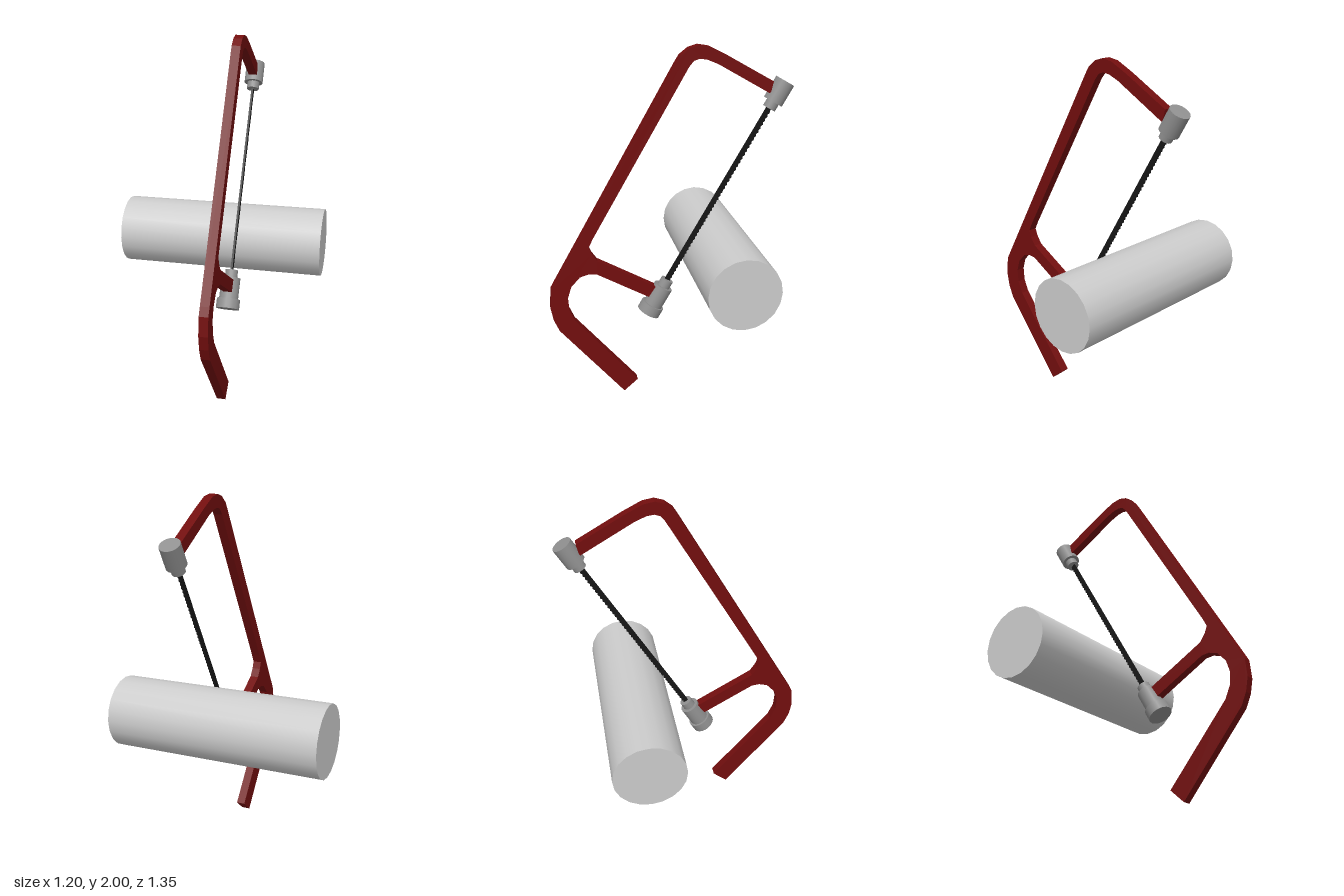
import * as THREE from 'three';

const material = (color) => new THREE.MeshStandardMaterial({ color });

export function createModel() {
  const model = new THREE.Group();
  const red = material(0x720e0e);
  const steel = material(0x909090);
  const black = material(0x161616);

  function add(parent, name, geometry, mat) {
    const mesh = new THREE.Mesh(geometry, mat);
    mesh.name = name;
    parent.add(mesh);
    return mesh;
  }

  // Horizontal pipe being cut
  const pipe = add(model, 'pipe', new THREE.CylinderGeometry(0.199, 0.199, 1.2, 20), material(0xcccccc));
  pipe.rotation.z = Math.PI / 2;
  pipe.position.set(0, 0.79, -0.307);

  // Saw, drawn in its own plane: local x runs to the back, local z across the thickness
  const saw = new THREE.Group();
  saw.name = 'saw';
  saw.rotation.y = Math.PI / 2;
  saw.position.x = 0.114;
  model.add(saw);

  // Bow frame with upper arm, curved handle and lower arm as one outline
  const outline = [
    // outer edge, upper arm to handle tip
    [0.56, 1.80], [0.31, 1.94], [0.21, 1.99], [0.15, 2.0], [0.10, 1.985], [0.055, 1.95], [0.03, 1.91],
    [-0.64, 0.735], [-0.665, 0.69], [-0.675, 0.585], [-0.66, 0.505], [-0.63, 0.435], [-0.27, 0],
    // inner edge of the handle to the lower arm
    [-0.19, 0.07], [-0.54, 0.49], [-0.57, 0.56], [-0.575, 0.635], [-0.555, 0.70], [-0.505, 0.755],
    [-0.455, 0.77], [-0.41, 0.765], [-0.12, 0.60], [-0.08, 0.66],
    // inner edge of the bow
    [-0.405, 0.845], [-0.435, 0.89], [-0.45, 0.93], [-0.425, 0.98],
    [0.10, 1.89], [0.125, 1.92], [0.155, 1.93], [0.195, 1.925], [0.255, 1.90], [0.545, 1.735],
  ].map(([x, y]) => new THREE.Vector2(x, y));
  const frameGeometry = new THREE.ExtrudeGeometry(new THREE.Shape(outline), { depth: 0.05, bevelEnabled: false });
  frameGeometry.translate(0, 0, -0.025);
  add(saw, 'frame', frameGeometry, red);

  // Blade axis, leaning 30 degrees from the lower fitting to the upper one
  const axis = new THREE.Group();
  axis.name = 'bladeAssembly';
  axis.position.set(-0.12, 0.495, 0);
  axis.rotation.z = -Math.PI / 6;
  saw.add(axis);

  // Stepped fittings: name, start, end, radius along the axis
  for (const [name, start, end, radius] of [
    ['lowerFlange', 0, 0.056, 0.067],
    ['lowerFitting', 0.056, 0.179, 0.055],
    ['lowerCollar', 0.179, 0.224, 0.036],
    ['upperCollar', 1.335, 1.376, 0.036],
    ['upperFitting', 1.376, 1.502, 0.055],
  ]) {
    const part = add(axis, name, new THREE.CylinderGeometry(radius, radius, end - start, 20), steel);
    part.position.y = (start + end) / 2;
  }

  // Thin blade with fine teeth towards the pipe
  const blade = new THREE.Shape();
  const bottom = 0.21, top = 1.35, teeth = 48, pitch = (top - bottom) / teeth;
  blade.moveTo(-0.015, bottom);
  blade.lineTo(0.01, bottom);
  for (let i = 0; i < teeth; i++) {
    blade.lineTo(0.016, bottom + pitch * (i + 0.5));
    blade.lineTo(0.01, bottom + pitch * (i + 1));
  }
  blade.lineTo(-0.015, top);
  blade.closePath();
  const bladeGeometry = new THREE.ExtrudeGeometry(blade, { depth: 0.012, bevelEnabled: false });
  bladeGeometry.translate(0, 0, -0.006);
  add(axis, 'blade', bladeGeometry, black);

  return model;
}
